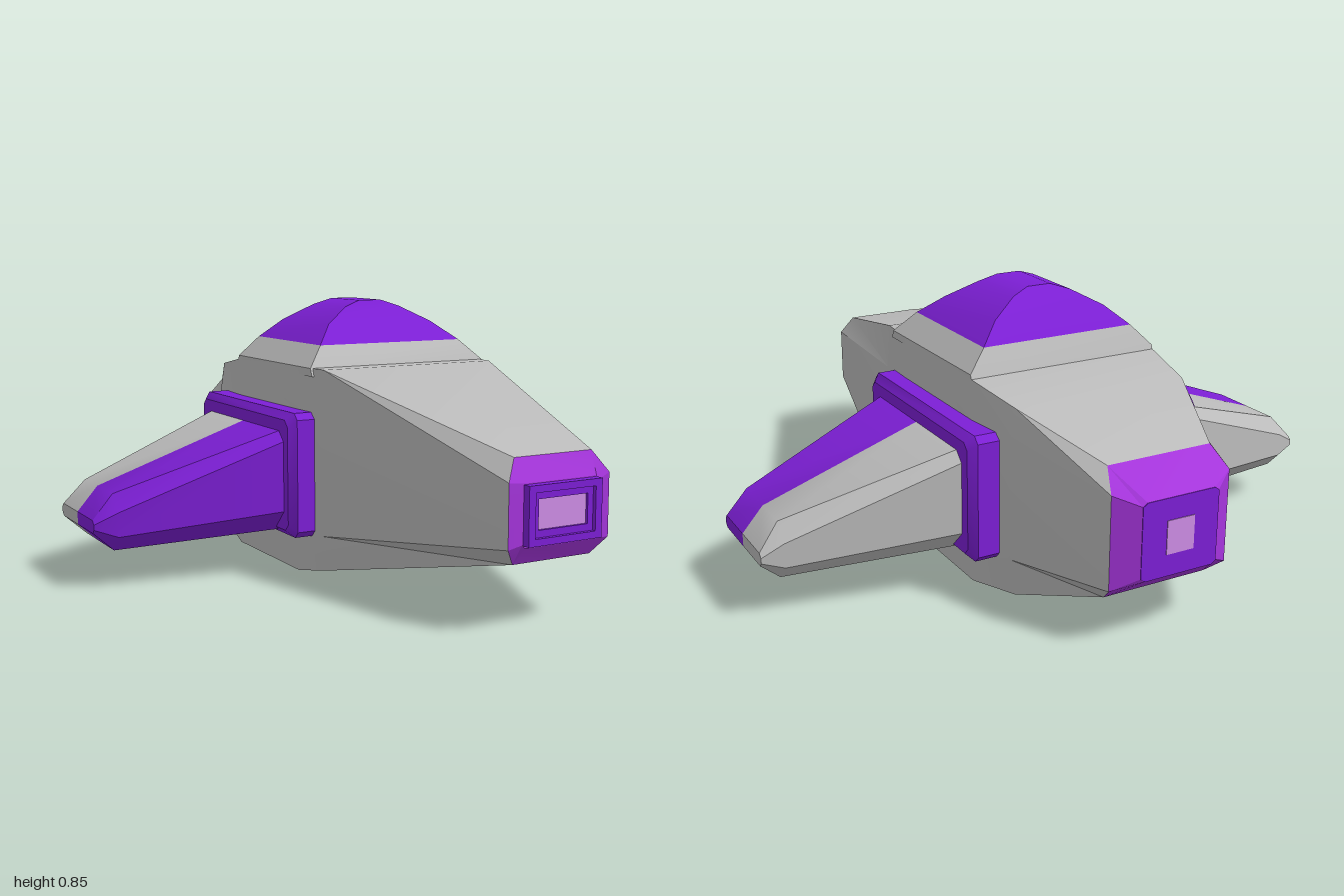
import * as THREE from 'three';
import { toCreasedNormals } from 'three/addons/utils/BufferGeometryUtils.js';

const material = (name, color) => {
  const m = new THREE.MeshStandardMaterial({ color });
  m.name = name;
  return m;
};

// Skin a list of equal-length rings; caps close the first and last ring.
function loft(rings, { start = true, end = true, crease = 0.55 } = {}) {
  const tris = [];
  const n = rings[0].length;
  for (let r = 0; r < rings.length - 1; r++) {
    for (let i = 0; i < n; i++) {
      const j = (i + 1) % n;
      const a = rings[r][i], b = rings[r][j], c = rings[r + 1][j], d = rings[r + 1][i];
      tris.push([a, b, c], [a, c, d]);
    }
  }
  const centre = (pts) => [0, 1, 2].map((k) => pts.reduce((s, p) => s + p[k], 0) / pts.length);
  const cap = (ring, flip) => {
    const m = centre(ring);
    ring.forEach((p, i) => {
      const q = ring[(i + 1) % n];
      tris.push(flip ? [m, q, p] : [m, p, q]);
    });
  };
  if (start) cap(rings[0], true);
  if (end) cap(rings[rings.length - 1], false);
  // Turn all faces outwards, whichever way the rings run
  const mid = new THREE.Vector3(...centre(rings.flat()));
  let volume = 0;
  for (const t of tris) {
    const [a, b, c] = t.map((p) => new THREE.Vector3(...p).sub(mid));
    volume += a.dot(b.cross(c));
  }
  if (volume < 0) tris.forEach((t) => t.reverse());
  const g = new THREE.BufferGeometry();
  g.setAttribute('position', new THREE.Float32BufferAttribute(tris.flat(2), 3));
  return toCreasedNormals(g, crease);
}

// Eight-sided hull section: top/bottom half width t, side half width w
function hullRing(z, t, w, bottom, sideLow, sideHigh, top, sideZ = z) {
  const half = [[t, top, z], [w, sideHigh, sideZ], [w, sideLow, sideZ], [t, bottom, z]];
  return [...half, ...half.slice().reverse().map(([x, y, zz]) => [-x, y, zz])];
}

// Flat rectangle at height y
const levelRing = (y, x, z0, z1) => [[x, y, z0], [x, y, z1], [-x, y, z1], [-x, y, z0]];

// Rectangular frame with a rectangular hole, extruded along z
function frame(w, h, holeW, holeH, depth) {
  const path = (P, a, b) => {
    const p = new P();
    p.moveTo(-a, -b); p.lineTo(a, -b); p.lineTo(a, b); p.lineTo(-a, b); p.closePath();
    return p;
  };
  const s = path(THREE.Shape, w, h);
  s.holes.push(path(THREE.Path, holeW, holeH));
  return new THREE.ExtrudeGeometry(s, { depth, bevelEnabled: false });
}

export function createModel() {
  const model = new THREE.Group();
  model.name = 'spacecraft';
  const grey = material('hull grey', 0xbcbcbc);
  const purple = material('purple', 0x7d1fd6);
  const violet = material('bright violet', 0xa535dc);
  const lavender = material('lens lavender', 0xd08ee8);
  const add = (name, geometry, mat, parent = model) => {
    const mesh = new THREE.Mesh(geometry, mat);
    mesh.name = name;
    parent.add(mesh);
    return mesh;
  };

  // Hull, nose to tail
  const noseEdge = hullRing(0.94, 0.13, 0.168, 0.19, 0.24, 0.42, 0.48, 0.972);
  const tailEdge = hullRing(-0.89, 0.17, 0.195, 0.13, 0.18, 0.46, 0.52, -0.95);
  add('hull', loft([
    noseEdge,
    hullRing(0.2, 0.305, 0.315, 0.03, 0.14, 0.515, 0.655),
    hullRing(0.05, 0.318, 0.32, 0, 0.14, 0.52, 0.655),
    hullRing(-0.4, 0.318, 0.32, 0, 0.14, 0.52, 0.642),
    hullRing(-0.6, 0.285, 0.3, 0.035, 0.15, 0.51, 0.61),
    tailEdge,
  ], { start: false, end: false, crease: 0.6 }), grey);

  // Nose cap, nested frames and lens
  add('noseCap', loft([noseEdge, hullRing(0.975, 0.115, 0.125, 0.24, 0.25, 0.4, 0.415)],
    { start: false, crease: 0.3 }), violet);
  add('noseFrame', frame(0.122, 0.082, 0.1, 0.062, 0.04), purple).position.set(0, 0.33, 0.96);
  add('noseInnerFrame', frame(0.1, 0.062, 0.082, 0.042, 0.028), purple).position.set(0, 0.33, 0.96);
  add('noseLens', new THREE.BoxGeometry(0.166, 0.086, 0.008), lavender).position.set(0, 0.33, 0.976);

  // Tail cap, end plate and lens
  const tailEnd = hullRing(-0.996, 0.11, 0.125, 0.21, 0.22, 0.43, 0.44);
  add('tailCap', loft([tailEdge, tailEnd], { start: false, end: false, crease: 0.3 }), violet);
  add('tailPlate', loft([tailEnd, tailEnd.map(([x, y]) => [x, y, -0.998])]), purple);
  add('tailLens', new THREE.BoxGeometry(0.09, 0.1, 0.006), lavender).position.set(0, 0.325, -0.997);

  // Canopy on its sloped base
  add('canopyBase', loft([
    levelRing(0.63, 0.318, 0.15, -0.405),
    levelRing(0.655, 0.318, 0.14, -0.395),
    levelRing(0.72, 0.257, 0.09, -0.363),
  ], { start: false }), grey);
  add('canopy', loft([
    levelRing(0.72, 0.257, 0.09, -0.363),
    levelRing(0.78, 0.19, 0.02, -0.31),
    levelRing(0.83, 0.1, -0.035, -0.26),
    levelRing(0.85, 0.04, -0.05, -0.24),
  ], { start: false, crease: 0.65 }), purple);

  // Wings and their root plates
  const split = -0.19;
  // Half a wing section, from the split line to the edge
  const wingRing = (x, edge, low, high, chamferLow, chamferHigh) => {
    const dir = Math.sign(edge - split);
    return [
      [x, high, split],
      [x, high, edge - dir * chamferHigh],
      [x, high - chamferHigh, edge],
      [x, low + chamferLow, edge],
      [x, low, edge - dir * chamferLow],
      [x, low, split],
    ];
  };
  const rootRing = (x, inset) => {
    const z0 = -0.545 + inset, z1 = 0.16 - inset, y0 = 0.13 + inset, y1 = 0.52 - inset, c = 0.02;
    return [
      [x, y0, z0 + c], [x, y0 + c, z0], [x, y1 - c, z0], [x, y1, z0 + c],
      [x, y1, z1 - c], [x, y1 - c, z1], [x, y0 + c, z1], [x, y0, z1 - c],
    ];
  };
  for (const side of [1, -1]) {
    const wing = new THREE.Group();
    wing.name = side > 0 ? 'leftWing' : 'rightWing';
    model.add(wing);
    const mirror = (rings) => rings.map((r) => r.map(([x, y, z]) => [x * side, y, z]));
    add('wingRootPlate', loft(mirror([
      rootRing(0.29, 0), rootRing(0.375, 0), rootRing(0.398, 0.022),
    ])), purple, wing);
    const halves = [
      ['wingFront', purple, 0.115, 0.005, -0.03],
      ['wingRear', grey, -0.495, -0.365, -0.35],
    ];
    for (const [name, mat, rootEdge, tipEdge, endEdge] of halves) {
      add(name, loft(mirror([
        wingRing(0.37, rootEdge, 0.142, 0.47, 0.07, 0.03),
        wingRing(0.895, tipEdge, 0.115, 0.29, 0.05, 0.05),
        wingRing(0.96, endEdge, 0.175, 0.215, 0.012, 0.012),
      ])), mat, wing);
    }
  }
  return model;
}
